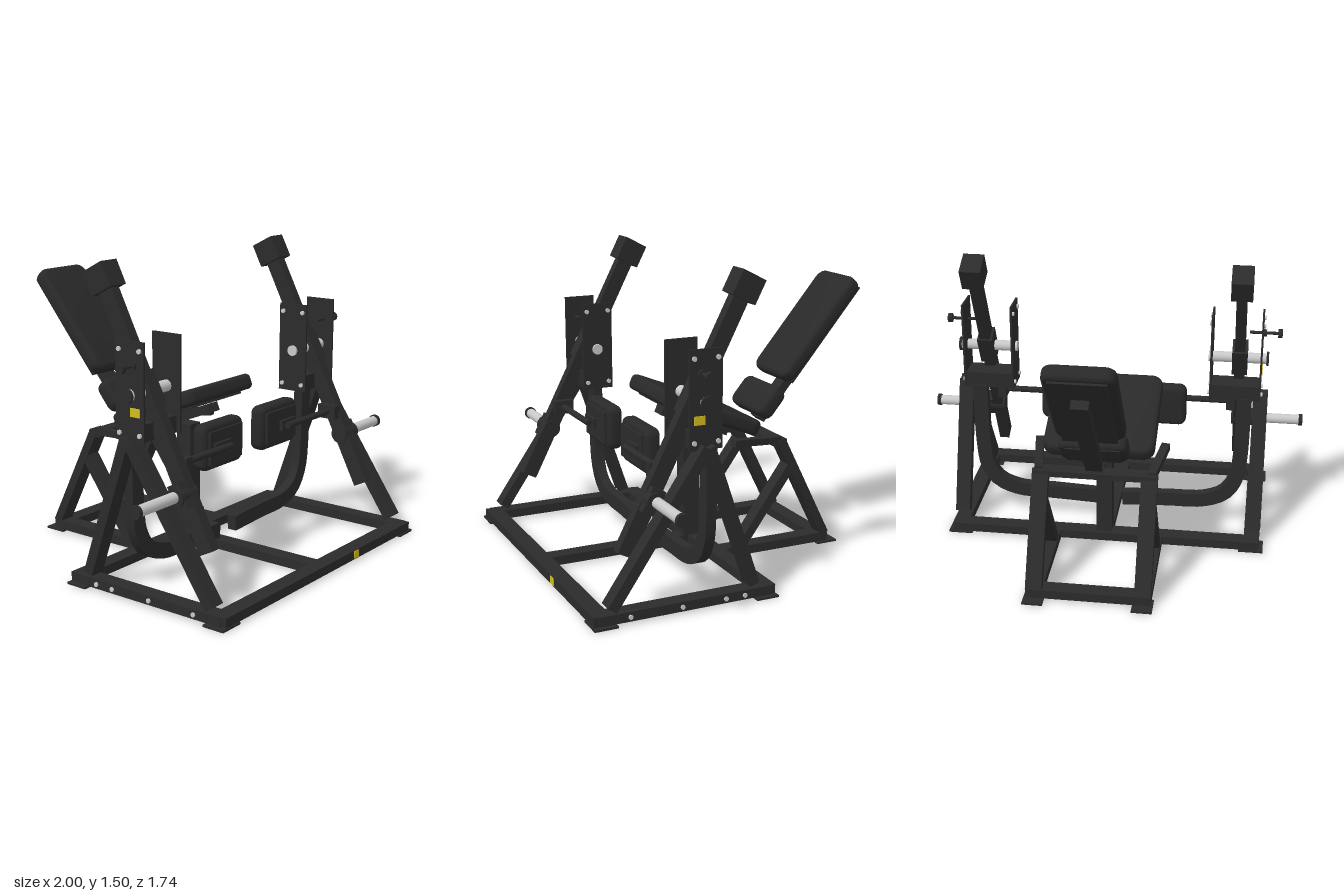
import * as THREE from 'three';
import { toCreasedNormals } from 'three/addons/utils/BufferGeometryUtils.js';

function material(name, color) {
  const m = new THREE.MeshStandardMaterial({ color });
  m.name = name;
  return m;
}

export function createModel() {
  const frame = material('blackFrame', 0x2b2b2b);
  const leather = material('blackPadding', 0x292929);
  const steel = material('brightSteel', 0xc8c8c8);
  const yellow = material('yellowLabel', 0xd2bc1e);
  const model = new THREE.Group();
  model.name = 'legMachine';
  const rad = THREE.MathUtils.degToRad;

  function add(parent, name, geometry, mat, x, y, z) {
    const mesh = new THREE.Mesh(geometry, mat);
    mesh.name = name;
    mesh.position.set(x, y, z);
    parent.add(mesh);
    return mesh;
  }
  function box(parent, name, w, h, d, x, y, z, mat = frame) {
    return add(parent, name, new THREE.BoxGeometry(w, h, d), mat, x, y, z);
  }
  // Rectangular tube from a to b: w is the level width, h the depth
  function bar(parent, name, a, b, w, h) {
    const p = new THREE.Vector3(...a), q = new THREE.Vector3(...b);
    const mid = p.clone().lerp(q, 0.5);
    const mesh = box(parent, name, w, h, p.distanceTo(q), mid.x, mid.y, mid.z);
    mesh.lookAt(q);
    return mesh;
  }
  // Cylinder lying along x between x0 and x1
  function rod(parent, name, r, x0, x1, y, z, mat, sides = 24) {
    const geo = new THREE.CylinderGeometry(r, r, x1 - x0, sides).rotateZ(Math.PI / 2);
    return add(parent, name, geo, mat, (x0 + x1) / 2, y, z);
  }
  // Cushion with rounded corners and edges, facing local z
  function pad(parent, name, w, h, t, r, x, y, z) {
    const b = Math.min(0.024, t * 0.35), W = w / 2 - b, H = h / 2 - b;
    const s = new THREE.Shape();
    s.absarc(W - r, H - r, r, 0, Math.PI / 2);
    s.absarc(r - W, H - r, r, Math.PI / 2, Math.PI);
    s.absarc(r - W, r - H, r, Math.PI, Math.PI * 1.5);
    s.absarc(W - r, r - H, r, Math.PI * 1.5, Math.PI * 2);
    const geo = new THREE.ExtrudeGeometry(s, {
      depth: t - 2 * b, bevelSize: b, bevelThickness: b, bevelSegments: 4, curveSegments: 6,
    });
    geo.translate(0, 0, b - t / 2);
    return add(parent, name, toCreasedNormals(geo, 0.7), leather, x, y, z);
  }

  // Base frame
  box(model, 'frontCrossbar', 1.6, 0.045, 0.08, 0, 0.033, 0.83);
  box(model, 'middleCrossbar', 1.6, 0.045, 0.08, 0, 0.033, 0.02);
  box(model, 'rearCrossbar', 0.53, 0.045, 0.08, 0, 0.033, -0.56);
  box(model, 'centreRail', 0.08, 0.045, 0.8, 0, 0.033, 0.42);
  box(model, 'frontLabel', 0.042, 0.036, 0.004, 0.27, 0.034, 0.872, yellow);

  // Seat, its post and its support
  box(model, 'seatPost', 0.08, 0.57, 0.085, 0, 0.335, 0.043);
  const seat = new THREE.Group();
  seat.name = 'seat';
  seat.position.set(0, 0.725, 0.008);
  seat.rotation.x = rad(-112);
  model.add(seat);
  pad(seat, 'seatPad', 0.55, 0.53, 0.078, 0.035, 0, 0, 0);
  box(seat, 'seatPlate', 0.4, 0.42, 0.012, 0, 0, -0.044);
  box(seat, 'seatBeam', 0.08, 0.39, 0.045, 0, 0.02, -0.075);
  bar(model, 'seatLink', [0, 0.59, -0.1], [0, 0.565, -0.34], 0.08, 0.03);

  // Backrest
  const back = new THREE.Group();
  back.name = 'backrest';
  back.position.set(0, 1.075, -0.635);
  back.rotation.x = rad(-40);
  model.add(back);
  pad(back, 'backPad', 0.33, 0.63, 0.075, 0.03, 0, 0, 0);
  pad(back, 'lumbarPad', 0.33, 0.17, 0.085, 0.02, 0, -0.449, -0.012);
  box(back, 'backPlate', 0.26, 0.6, 0.01, 0, 0, -0.05);
  box(back, 'lumbarPlate', 0.26, 0.13, 0.012, 0, -0.449, -0.054);
  box(back, 'backBeam', 0.08, 0.69, 0.045, 0, -0.19, -0.08);
  box(model, 'upperRearCrossbar', 0.6, 0.03, 0.075, 0, 0.562, -0.32);

  // Curved foot tube outline, offset from its centre line
  const line = new THREE.CatmullRomCurve3([
    [0.69, 0.74], [0.682, 0.4], [0.665, 0.28], [0.61, 0.19], [0.5, 0.142], [0.3, 0.133], [0.065, 0.122],
  ].map(([x, y]) => new THREE.Vector3(x, y, 0)), false, 'centripetal');
  const outer = [], inner = [];
  for (let i = 0; i <= 28; i++) {
    const p = line.getPointAt(i / 28), t = line.getTangentAt(i / 28);
    outer.push(new THREE.Vector2(p.x - t.y * 0.038, p.y + t.x * 0.038));
    inner.unshift(new THREE.Vector2(p.x + t.y * 0.038, p.y - t.x * 0.038));
  }
  const tubeGeo = toCreasedNormals(new THREE.ExtrudeGeometry(new THREE.Shape([...outer, ...inner]),
    { depth: 0.05, bevelEnabled: false }), 0.6);

  // Mirrored halves: all parts below are placed symmetrically on both sides
  for (const s of [1, -1]) {
    const side = new THREE.Group();
    side.name = s > 0 ? 'leftSide' : 'rightSide';
    model.add(side);
    const X = (x) => s * x;
    const sideRod = (name, r, x0, x1, y, z, mat, n) =>
      rod(side, name, r, Math.min(X(x0), X(x1)), Math.max(X(x0), X(x1)), y, z, mat, n);

    // Base rails, feet and bolts
    box(side, 'sideRail', 0.08, 0.045, 0.84, X(0.765), 0.033, 0.425);
    box(side, 'rearRail', 0.08, 0.045, 0.6, X(0.265), 0.033, -0.3);
    for (const z of [0.82, 0.03]) box(side, 'cornerFoot', 0.125, 0.01, 0.11, X(0.763), 0.005, z);
    box(side, 'rearFoot', 0.1, 0.01, 0.11, X(0.265), 0.005, -0.595);
    for (const z of [0.7, 0.45, 0.235, 0.14]) sideRod('railBolt', 0.011, 0.8, 0.812, 0.032, z, steel, 12);

    // Rear seat stand and handle
    bar(side, 'rearLeg', [X(0.265), 0.05, -0.585], [X(0.265), 0.575, -0.325], 0.08, 0.045);
    bar(side, 'rearBrace', [X(0.265), 0.05, -0.105], [X(0.265), 0.435, -0.385], 0.075, 0.045);
    bar(side, 'handleArm', [X(0.275), 0.572, -0.33], [X(0.318), 0.597, -0.05], 0.042, 0.034);

    // A-frame legs
    bar(side, 'frontLeg', [X(0.77), 0.075, 0.785], [X(0.77), 0.745, 0.325], 0.075, 0.05);
    bar(side, 'backLeg', [X(0.77), 0.075, 0.09], [X(0.77), 0.745, 0.315], 0.075, 0.05);

    // Pivot tower
    box(side, 'towerBeam', 0.25, 0.08, 0.13, X(0.637), 0.77, 0.315);
    for (const [x, out] of [[0.765, 1], [0.513, -1]]) {
      box(side, 'towerPlate', 0.01, 0.45, 0.16, X(x), 0.955, 0.32);
      for (const y of [0.765, 1.14]) {
        for (const z of [0.262, 0.378]) {
          sideRod('plateBolt', 0.011, x, x + out * 0.014, y, z, steel, 12);
        }
      }
    }
    box(side, 'towerLabel', 0.004, 0.04, 0.052, X(0.772), 0.865, 0.352, yellow);
    sideRod('pivotShaft', 0.027, 0.497, 0.79, 0.94, 0.323, steel);
    sideRod('pivotCap', 0.036, 0.79, 0.802, 0.94, 0.323, frame);
    sideRod('pinRod', 0.008, 0.7, 0.85, 1.073, 0.342, frame, 12);
    sideRod('pinCollar', 0.018, 0.765, 0.785, 1.073, 0.342, frame, 16);
    sideRod('pinKnob', 0.023, 0.842, 0.864, 1.073, 0.342, frame, 16);

    // Lever arm with counterweight and pivot hub
    bar(side, 'lever', [X(0.656), 0.265, 0.672], [X(0.656), 1.4, 0.09], 0.052, 0.078);
    bar(side, 'leverHead', [X(0.657), 1.367, 0.107], [X(0.657), 1.473, 0.052], 0.105, 0.125);
    bar(side, 'pivotHub', [X(0.656), 0.865, 0.364], [X(0.656), 1.015, 0.286], 0.078, 0.095);

    // Weight peg
    bar(side, 'pegMount', [X(0.7), 0.455, 0.574], [X(0.7), 0.56, 0.52], 0.045, 0.07);
    sideRod('pegCollar', 0.045, 0.62, 0.735, 0.508, 0.543, frame);
    sideRod('weightPeg', 0.026, 0.73, 0.982, 0.508, 0.538, steel);
    sideRod('pegCap', 0.031, 0.98, 1.0, 0.508, 0.538, frame);

    // Thigh pad on its arm
    sideRod('padArm', 0.016, 0.235, 0.64, 0.625, 0.48, frame, 16);
    box(side, 'padArmMount', 0.045, 0.07, 0.1, X(0.615), 0.625, 0.48);
    pad(side, 'thighPad', 0.31, 0.22, 0.075, 0.015, X(0.23), 0.625, 0.398);
    box(side, 'thighPadPlate', 0.25, 0.16, 0.012, X(0.23), 0.625, 0.443);
    box(side, 'thighPadBracket', 0.12, 0.05, 0.018, X(0.27), 0.625, 0.456);

    const foot = add(side, 'footTube', s > 0 ? tubeGeo : tubeGeo.clone().rotateY(Math.PI), frame, 0, 0, 0);
    foot.position.z = s > 0 ? 0.243 : 0.293;
  }
  return model;
}
